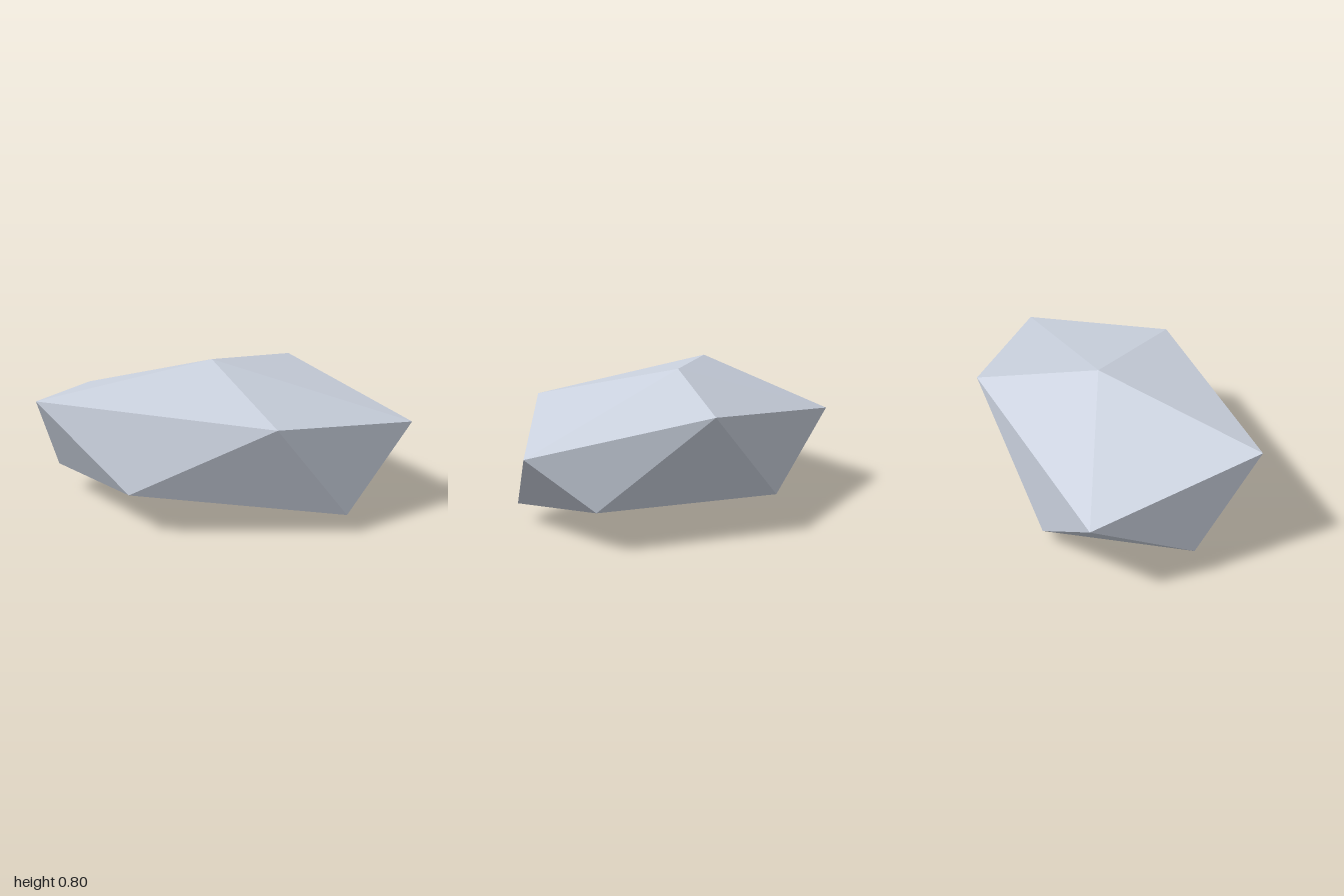
import * as THREE from 'three';

export function createModel() {
  const group = new THREE.Group();
  const stone = new THREE.MeshStandardMaterial({ color: 0xccd3e0 });
  stone.name = 'pale stone grey';
  stone.flatShading = true;

  // Cross-sections: crown, upper ring, lower ring (offset half a step), base
  const crown = [-0.13, 0.795, -0.06];
  const upper = [[-0.97, 0.667, 0.49], [0.36, 0.633, 0.575], [1, 0.51, -0.055], [0.21, 0.685, -0.64], [-1, 0.48, -0.46]];
  const lower = [[-0.42, 0.233, 0.64], [0.705, 0.105, 0.365], [0.745, 0.225, -0.31], [-0.465, 0.08, -0.52], [-1, 0.163, 0.12]];
  const base = [-0.09, 0, 0.06];

  // Twenty facets: top fan, zigzag belt, bottom fan
  const positions = [];
  const facet = (...corners) => corners.forEach((c) => positions.push(...c));
  for (let i = 0; i < 5; i++) {
    const j = (i + 1) % 5;
    facet(crown, upper[i], upper[j]);
    facet(upper[i], lower[i], upper[j]);
    facet(upper[j], lower[i], lower[j]);
    facet(base, lower[j], lower[i]);
  }

  const geometry = new THREE.BufferGeometry();
  geometry.setAttribute('position', new THREE.Float32BufferAttribute(positions, 3));
  geometry.computeVertexNormals();

  const rock = new THREE.Mesh(geometry, stone);
  rock.name = 'rock';
  group.add(rock);
  return group;
}
